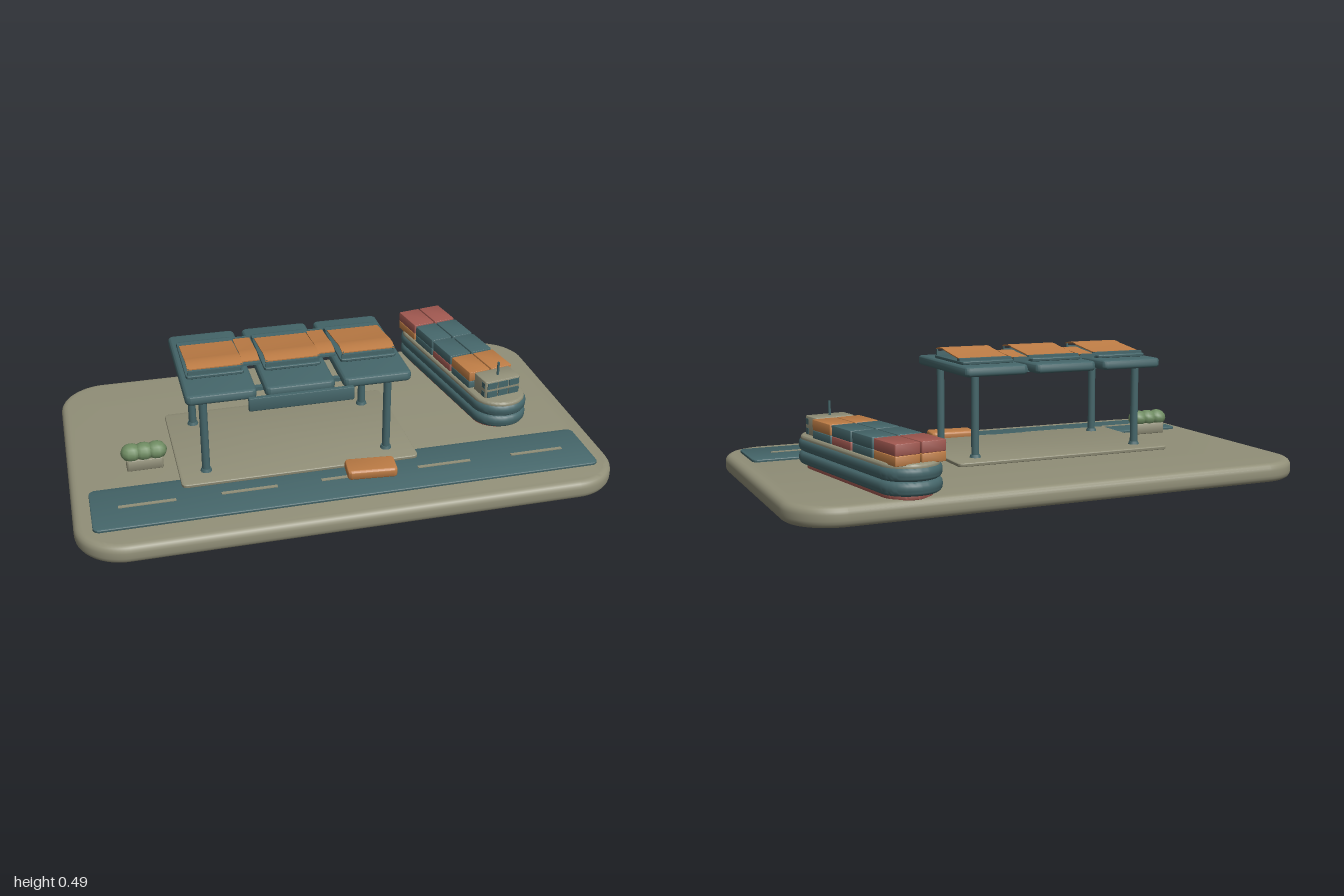
import * as THREE from 'three';
import { toCreasedNormals } from 'three/addons/utils/BufferGeometryUtils.js';

const paint = (name, color) => {
  const m = new THREE.MeshStandardMaterial({ color });
  m.name = name;
  return m;
};

export function createModel() {
  const tan = paint('sand', 0x918f78);
  const teal = paint('teal', 0x45666a);
  const orange = paint('orange', 0xbd7c45);
  const red = paint('red', 0xa05850);
  const green = paint('green', 0x6f8c62);
  const sheetMat = paint('canopy orange', 0xbd7c45);
  sheetMat.side = THREE.DoubleSide;

  const model = new THREE.Group();
  const add = (parent, name, geo, mat, x = 0, y = 0, z = 0) => {
    const mesh = new THREE.Mesh(geo, mat);
    mesh.name = name;
    mesh.position.set(x, y, z);
    parent.add(mesh);
    return mesh;
  };
  const box = (w, h, d) => new THREE.BoxGeometry(w, h, d);

  // Slab with rounded plan corners and bevelled rims, standing on y = 0
  const slab = (w, h, d, r, b) => {
    const x = w / 2 - b, y = d / 2 - b, q = Math.max(r - b, 0.002);
    const s = new THREE.Shape();
    s.absarc(x - q, y - q, q, 0, Math.PI / 2);
    s.absarc(-x + q, y - q, q, Math.PI / 2, Math.PI);
    s.absarc(-x + q, -y + q, q, Math.PI, Math.PI * 1.5);
    s.absarc(x - q, -y + q, q, Math.PI * 1.5, Math.PI * 2);
    const g = new THREE.ExtrudeGeometry(s, {
      depth: h - 2 * b, bevelEnabled: true, bevelSize: b, bevelThickness: b, bevelSegments: 4, curveSegments: 10,
    });
    g.translate(0, 0, b).rotateX(-Math.PI / 2);
    return toCreasedNormals(g, 0.6);
  };

  // Ground and road
  add(model, 'ground', slab(2, 0.072, 1.2, 0.18, 0.026), tan, 0, 0, 0.012);
  add(model, 'road', slab(1.87, 0.014, 0.255, 0.025, 0.004), teal, 0, 0.068, 0.378);
  for (let i = -2; i <= 2; i++) add(model, 'roadDash', box(0.205, 0.004, 0.014), tan, i * 0.368, 0.083, 0.38);

  // Pavilion floor and posts
  const pavilion = new THREE.Group();
  pavilion.name = 'pavilion';
  model.add(pavilion);
  add(pavilion, 'floor', slab(0.89, 0.014, 0.53, 0.02, 0.004), tan, -0.158, 0.083, 0.055);
  for (const x of [-0.503, 0.183]) {
    for (const z of [-0.115, 0.235]) {
      add(pavilion, 'post', new THREE.CylinderGeometry(0.015, 0.015, 0.32, 12), teal, x, 0.255, z);
      add(pavilion, 'postFoot', new THREE.CylinderGeometry(0.018, 0.022, 0.012, 12), teal, x, 0.102, z);
    }
  }

  // Curved skylight sheet, highest near its front edge
  const sheet = (w, front, back, top, low) => {
    const rise = top - low;
    const s = new THREE.Shape();
    s.moveTo(front, top - 0.008);
    s.quadraticCurveTo(front - 0.045, top + 0.006, front - 0.09, top - rise * 0.28);
    s.lineTo(back, low);
    s.lineTo(back, low - 0.004);
    s.lineTo(front - 0.09, top - rise * 0.28 - 0.004);
    s.quadraticCurveTo(front - 0.045, top + 0.002, front, top - 0.012);
    const g = new THREE.ExtrudeGeometry(s, { depth: w, bevelEnabled: false, curveSegments: 8 });
    g.translate(0, 0, -w / 2).rotateY(-Math.PI / 2);
    return toCreasedNormals(g, 0.6);
  };

  // Three roof panels, each with a raised skylight
  for (const x of [-0.443, -0.158, 0.127]) {
    add(pavilion, 'roofPanel', slab(0.255, 0.037, 0.505, 0.022, 0.012), teal, x, 0.409, 0.053);
    add(pavilion, 'skylightBase', slab(0.212, 0.012, 0.29, 0.015, 0.003), teal, x, 0.446, 0.03);
    add(pavilion, 'skylightSheet', sheet(0.2, 0.168, -0.062, 0.492, 0.467), sheetMat, x);
    add(pavilion, 'skylightBackRail', box(0.212, 0.009, 0.025), teal, x, 0.462, -0.077);
    add(pavilion, 'skylightFrontRail', box(0.2, 0.016, 0.008), teal, x, 0.465, 0.163);
    for (const s of [-1, 1]) add(pavilion, 'skylightStrut', box(0.006, 0.03, 0.006), teal, x + s * 0.096, 0.47, 0.165);
  }
  // Lower link sheets and crossbeams between panels
  for (const x of [-0.305, -0.02]) {
    add(pavilion, 'linkSheet', sheet(0.065, 0.12, -0.085, 0.476, 0.461), sheetMat, x);
    add(pavilion, 'linkBackRail', box(0.07, 0.012, 0.008), teal, x, 0.458, -0.09);
    add(pavilion, 'linkBase', box(0.07, 0.008, 0.2), teal, x, 0.45, 0.017);
  }
  for (const z of [-0.115, 0.235]) add(pavilion, 'crossbeam', box(0.7, 0.014, 0.02), teal, -0.16, 0.416, z);
  add(pavilion, 'frontValance', slab(0.385, 0.052, 0.018, 0.006, 0.004), teal, -0.158, 0.369, 0.312);

  // Cargo ship, turned slightly
  const ship = new THREE.Group();
  ship.name = 'cargoShip';
  ship.position.set(0.638, 0, -0.213);
  ship.rotation.y = 0.165;
  model.add(ship);
  add(ship, 'keel', slab(0.18, 0.03, 0.74, 0.09, 0.004), red, 0, 0.068, 0);
  add(ship, 'lowerHull', slab(0.225, 0.05, 0.82, 0.112, 0.02), teal, 0, 0.086, 0);
  add(ship, 'upperHull', slab(0.225, 0.05, 0.82, 0.112, 0.02), teal, 0, 0.134, 0);
  add(ship, 'deck', slab(0.21, 0.03, 0.805, 0.105, 0.01), tan, 0, 0.164, 0);

  // Two layers of containers, bow row first
  const layers = [
    { y: 0.189, h: 0.033, colors: [orange, teal, red, teal] },
    { y: 0.223, h: 0.039, colors: [red, teal, teal, orange] },
  ];
  for (const { y, h, colors } of layers) {
    colors.forEach((mat, i) => {
      for (const s of [-1, 1]) {
        add(ship, 'container', slab(0.092, h, 0.147, 0.004, 0.002), mat, s * 0.049, y, -0.31 + i * 0.158);
      }
    });
  }

  // Bridge with windows and mast
  add(ship, 'bridge', slab(0.155, 0.075, 0.092, 0.008, 0.003), tan, 0, 0.188, 0.29);
  for (const y of [0.207, 0.243]) {
    for (let i = -1; i <= 1; i++) add(ship, 'bridgeWindow', box(0.043, 0.025, 0.005), teal, i * 0.048, y, 0.337);
    for (const s of [-1, 1]) add(ship, 'sideWindow', box(0.004, 0.022, 0.022), teal, s * 0.077, y, 0.318);
  }
  add(ship, 'mast', new THREE.CylinderGeometry(0.005, 0.005, 0.055, 8), teal, 0, 0.289, 0.292);

  // Vehicle on the road
  const car = add(model, 'vehicle', slab(0.185, 0.038, 0.096, 0.016, 0.01), orange, 0.087, 0.082, 0.37);
  car.rotation.y = -0.09;

  // Planter with three shrubs
  add(model, 'planter', slab(0.135, 0.045, 0.06, 0.008, 0.004), tan, -0.718, 0.088, 0.137);
  for (let i = -1; i <= 1; i++) {
    const shrub = add(model, 'shrub', new THREE.SphereGeometry(0.04, 10, 8), green, -0.718 + i * 0.046, 0.152, 0.137);
    shrub.scale.set(1, 0.85, 0.95);
  }
  return model;
}
